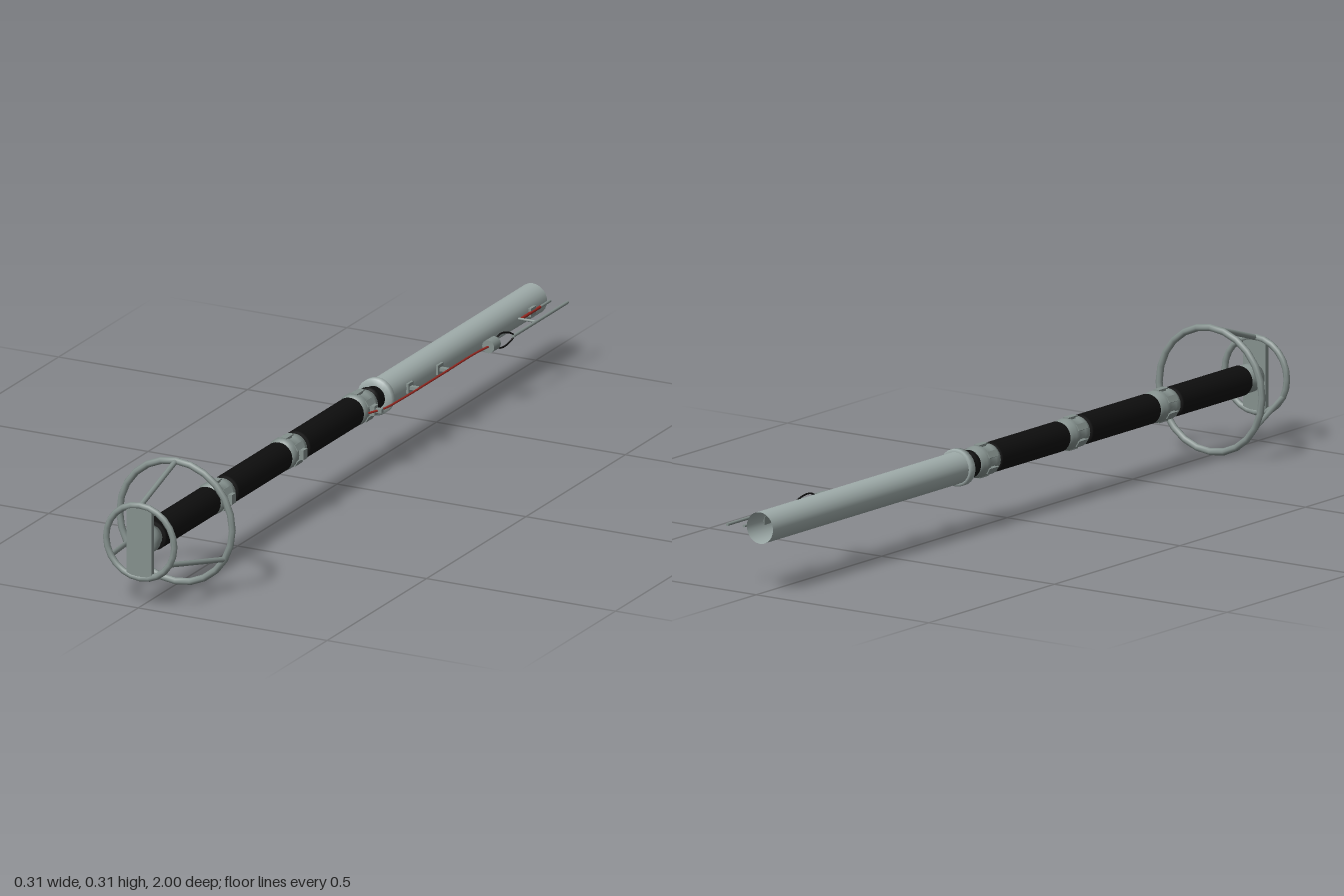
import * as THREE from 'three';

const AXIS_Y = 0.158;

export function createModel() {
  const model = new THREE.Group();
  model.name = 'jointedProbe';
  const body = new THREE.Group();
  body.name = 'probeBody';
  body.position.y = AXIS_Y; // everything below is built around the long axis
  model.add(body);

  const mat = (name, color, extra = {}) => Object.assign(new THREE.MeshStandardMaterial({ color, ...extra }), { name });
  const steel = mat('steel', 0x84908d);
  const tubeGrey = mat('paleSteel', 0xa0adab, { side: THREE.DoubleSide });
  const black = mat('blackHose', 0x0e0e0e);
  const red = mat('redCable', 0x9c2a22);

  const add = (name, geometry, material, parent = body) => {
    const mesh = new THREE.Mesh(geometry, material);
    mesh.name = name;
    parent.add(mesh);
    return mesh;
  };
  const box = (name, w, h, d, x, y, z, material, parent) => {
    const mesh = add(name, new THREE.BoxGeometry(w, h, d), material, parent);
    mesh.position.set(x, y, z);
    return mesh;
  };
  // lathe along z from [radius, z] pairs listed back to front
  const turned = (name, points, material, parent, sides = 24) =>
    add(name, new THREE.LatheGeometry(points.map(([r, z]) => new THREE.Vector2(r, z)), sides).rotateX(Math.PI / 2), material, parent);
  // straight round bar between two points
  const bar = (name, a, b, r, material, parent) => {
    const p = new THREE.Vector3(...a), q = new THREE.Vector3(...b);
    const mesh = add(name, new THREE.CylinderGeometry(r, r, p.distanceTo(q), 8), material, parent);
    mesh.position.copy(p).lerp(q, 0.5);
    mesh.quaternion.setFromUnitVectors(new THREE.Vector3(0, 1, 0), q.sub(p).normalize());
    return mesh;
  };
  const cable = (name, points, r, material, closed = false) =>
    add(name, new THREE.TubeGeometry(new THREE.CatmullRomCurve3(points.map(p => new THREE.Vector3(...p)), closed), 40, r, 6, closed), material);

  // front guard: two hoops, three struts and a mounting plate
  const guard = new THREE.Group();
  guard.name = 'frontGuard';
  body.add(guard);
  add('smallHoop', new THREE.TorusGeometry(0.09, 0.008, 8, 24), steel, guard).position.set(0, 0.003, 0.99);
  add('largeHoop', new THREE.TorusGeometry(0.149, 0.0085, 8, 24), steel, guard).position.z = 0.81;
  for (let i = 0; i < 3; i++) {
    const a = Math.PI / 2 + (i * Math.PI * 2) / 3;
    const c = Math.cos(a), s = Math.sin(a);
    bar('guardStrut', [c * 0.09, s * 0.09 + 0.003, 0.988], [c * 0.149, s * 0.149, 0.81], 0.0065, steel, guard);
  }
  box('mountingPlate', 0.066, 0.168, 0.012, 0, 0.003, 0.99, steel, guard);
  turned('noseCap', [[0, 0.93], [0.027, 0.93], [0.027, 0.945], [0.034, 0.95], [0.034, 0.965], [0.03, 0.985], [0, 0.985]], steel);

  // ribbed hose sections
  for (const [back, front] of [[0.65, 0.93], [0.29, 0.565], [-0.07, 0.205]]) {
    const ribs = 28, pts = [[0, back]];
    for (let i = 0; i <= ribs * 2; i++) pts.push([i % 2 ? 0.0365 : 0.0345, back + ((front - back) * i) / (ribs * 2)]);
    pts.push([0, front]);
    turned('hoseSection', pts, black);
  }

  // couplings between the sections, each with a ring of lugs
  for (const z of [0.608, 0.248, -0.108]) {
    const joint = new THREE.Group();
    joint.name = 'coupling';
    joint.position.z = z;
    body.add(joint);
    turned('couplingCore', [[0, -0.05], [0.029, -0.05], [0.029, 0.05], [0, 0.05]], black, joint);
    turned('couplingCollar', [[0.028, -0.036], [0.033, -0.036], [0.033, -0.026], [0.038, -0.022], [0.038, -0.008],
      [0.035, -0.006], [0.035, 0.012], [0.038, 0.014], [0.038, 0.026], [0.034, 0.036], [0.028, 0.036]], steel, joint);
    for (let i = 0; i < 6; i++) {
      const a = (i * Math.PI) / 3 + Math.PI / 6;
      const lug = box('couplingLug', 0.008, 0.016, 0.036, Math.cos(a) * 0.036, Math.sin(a) * 0.036, 0.004, steel, joint);
      lug.rotation.z = a;
    }
    box('couplingClip', 0.012, 0.024, 0.02, 0.041, 0, 0, steel, joint);
  }
  box('cableGuide', 0.024, 0.01, 0.01, 0.05, 0, -0.11, steel);

  // neck and hollow rear tube
  turned('neck', [[0.028, -0.2], [0.028, -0.165], [0.033, -0.163], [0.033, -0.15], [0.026, -0.15], [0.026, -0.12]], black);
  turned('rearTube', [[0.038, -0.985], [0.038, -0.19]], tubeGrey);
  turned('tubeFlange', [[0.038, -0.205], [0.045, -0.205], [0.045, -0.188], [0.026, -0.188]], tubeGrey);

  // red cable held off the tube by brackets
  cable('signalCable', [[0.04, 0, -0.08], [0.058, 0, -0.13], [0.062, 0, -0.2], [0.063, 0, -0.4], [0.063, 0, -0.58], [0.068, 0, -0.635]], 0.0028, red);
  for (const z of [-0.29, -0.44]) {
    box('cableBracket', 0.026, 0.008, 0.012, 0.05, 0, z, steel);
    box('bracketFoot', 0.006, 0.024, 0.026, 0.04, 0, z, steel);
  }

  // cable drum with wire loop and rear rods
  add('cableDrum', new THREE.CylinderGeometry(0.016, 0.016, 0.034, 16).rotateX(Math.PI / 2), steel).position.set(0.068, 0, -0.648);
  cable('wireLoop', [[0.068, 0, -0.66], [0.073, 0.017, -0.68], [0.079, 0.015, -0.705], [0.084, 0, -0.73], [0.079, -0.015, -0.705], [0.073, -0.017, -0.68]], 0.0022, black, true);
  bar('longRod', [0.084, 0, -0.725], [0.084, 0, -1], 0.004, steel);
  bar('rodCrossbar', [0.036, 0, -0.842], [0.084, 0, -0.842], 0.0035, steel);
  box('rodFoot', 0.008, 0.02, 0.026, 0.04, 0, -0.905, steel);
  bar('shortRod', [0.043, 0, -0.9], [0.043, 0, -0.99], 0.0035, steel);
  bar('rearCable', [0.043, 0, -0.842], [0.043, 0, -0.94], 0.0036, red);

  return model;
}
